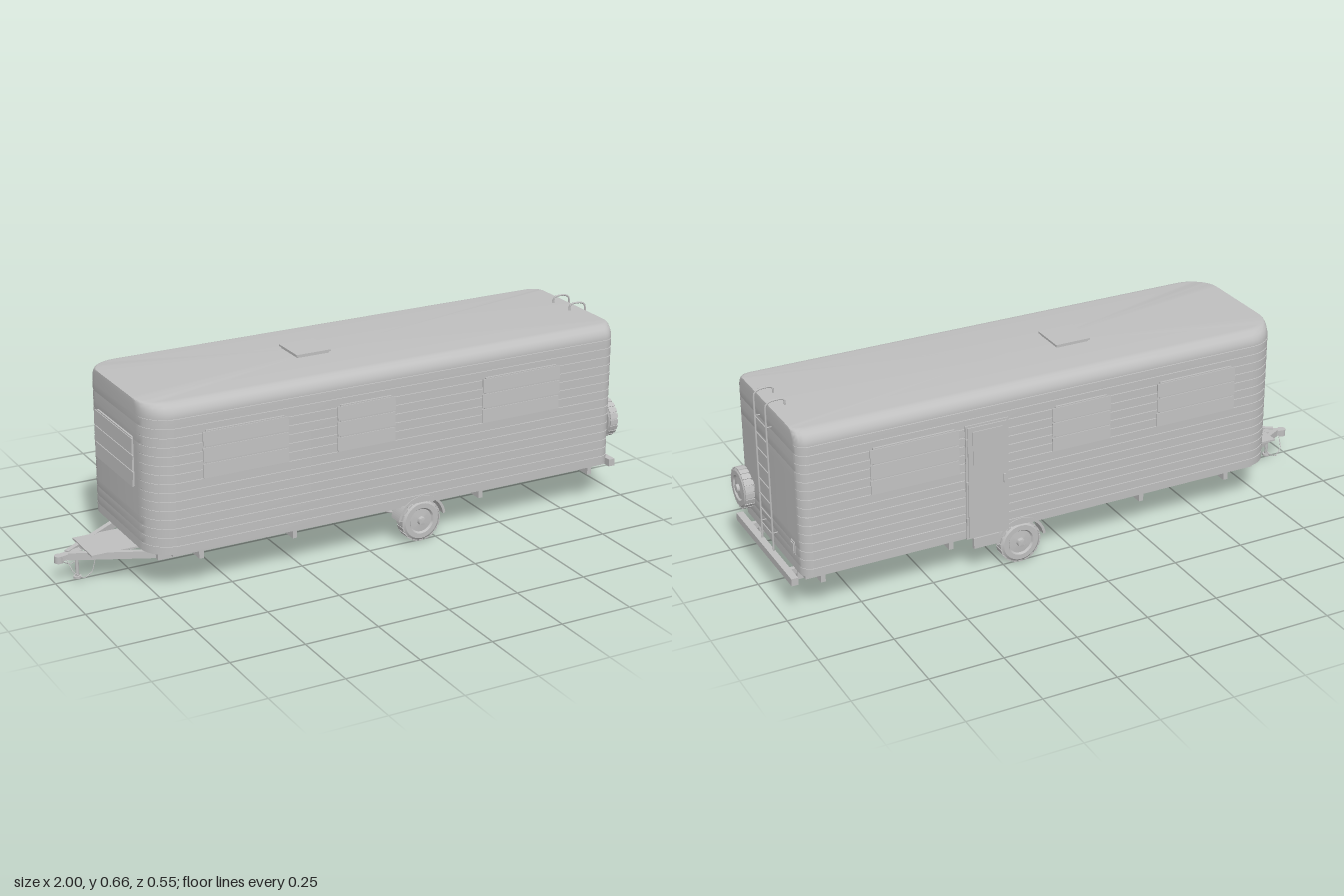
import * as THREE from 'three';
import { toCreasedNormals } from 'three/addons/utils/BufferGeometryUtils.js';

const grey = new THREE.MeshStandardMaterial({ color: 0xbfbfbf, side: THREE.DoubleSide });
grey.name = 'plain grey';
const V = (x, y, z) => new THREE.Vector3(x, y, z);

function add(parent, name, geo, x = 0, y = 0, z = 0) {
  const m = new THREE.Mesh(geo, grey);
  m.name = name;
  m.position.set(x, y, z);
  parent.add(m);
  return m;
}

// Box given by its min and max corners
function box(parent, name, x0, x1, y0, y1, z0, z1) {
  return add(parent, name, new THREE.BoxGeometry(x1 - x0, y1 - y0, z1 - z0),
    (x0 + x1) / 2, (y0 + y1) / 2, (z0 + z1) / 2);
}

// Square beam between two points
function beam(parent, name, a, b, w, h) {
  const m = add(parent, name, new THREE.BoxGeometry(w, h, a.distanceTo(b)));
  m.position.copy(a).add(b).multiplyScalar(0.5);
  m.lookAt(b);
  return m;
}

// Bent round bar through points
function bar(parent, name, pts, r) {
  const path = new THREE.CatmullRomCurve3(pts, false, 'catmullrom', 0.1);
  return add(parent, name, new THREE.TubeGeometry(path, pts.length * 6, r, 8));
}

function cyl(parent, name, r, len, axis, x, y, z, sides = 16) {
  const g = new THREE.CylinderGeometry(r, r, len, sides);
  if (axis === 'x') g.rotateZ(Math.PI / 2);
  if (axis === 'z') g.rotateX(Math.PI / 2);
  return add(parent, name, g, x, y, z);
}

// Rounded plan lofted up a side profile, so the ends stay plain and the sides carry planks
function shellGeometry() {
  const plan = [];
  const corner = (cx, cz, r, a0) => {
    for (let i = 0; i <= 8; i++) {
      const a = a0 + (i / 8) * Math.PI / 2;
      plan.push([cx + r * Math.cos(a), cz + r * Math.sin(a)]);
    }
  };
  corner(0.9, 0.22, 0.04, 0);
  corner(-0.675, 0.16, 0.1, Math.PI / 2);
  corner(-0.675, -0.16, 0.1, Math.PI);
  corner(0.9, -0.22, 0.04, Math.PI * 1.5);

  const profile = [];
  for (let i = 0; i < 15; i++) {
    const y = 0.14 + i * 0.03;
    profile.push([y, 0.26], [y + 0.026, 0.26], [y + 0.0265, 0.257], [y + 0.0295, 0.257]);
  }
  for (let i = 0; i <= 8; i++) {
    const a = (i / 8) * Math.PI / 2;
    profile.push([0.59 + 0.045 * Math.sin(a), 0.215 + 0.045 * Math.cos(a)]);
  }

  const pos = [], idx = [], n = plan.length;
  for (const [y, w] of profile) for (const [x, z] of plan) pos.push(x, y, z * w / 0.26);
  for (let j = 0; j < profile.length - 1; j++) for (let i = 0; i < n; i++) {
    const a = j * n + i, b = j * n + (i + 1) % n;
    idx.push(a, a + n, b, b, a + n, b + n);
  }
  const top = (profile.length - 1) * n, c = pos.length / 3;
  pos.push(0, 0.14, 0, 0, 0.635, 0);
  for (let i = 0; i < n; i++) {
    const k = (i + 1) % n;
    idx.push(c, i, k, c + 1, top + k, top + i);
  }
  const g = new THREE.BufferGeometry();
  g.setAttribute('position', new THREE.Float32BufferAttribute(pos, 3));
  g.setIndex(idx);
  return toCreasedNormals(g, 0.5);
}

// Wheel with its axis on z, outer face toward +z
function makeWheel(name, r, w) {
  const g = new THREE.Group();
  g.name = name;
  const h = w / 2;
  const pts = [[0, -h * 0.7], [r * 0.55, -h * 0.7], [r * 0.62, -h], [r * 0.85, -h], [r * 0.97, -h * 0.7],
    [r * 0.97, h * 0.7], [r * 0.85, h], [r * 0.62, h], [r * 0.55, h * 0.7], [r * 0.2, h * 0.8],
    [r * 0.18, h * 1.3], [0, h * 1.4]].map(p => new THREE.Vector2(p[0], p[1]));
  add(g, 'tyre', toCreasedNormals(new THREE.LatheGeometry(pts, 32).rotateX(Math.PI / 2), 0.5));
  for (let i = 0; i < 20; i++) {
    const a = (i / 20) * Math.PI * 2;
    const t = add(g, 'tread', new THREE.BoxGeometry(r * 0.06, r * 0.22, w * 0.84),
      Math.cos(a) * r * 0.965, Math.sin(a) * r * 0.965, 0);
    t.rotation.z = a;
  }
  return g;
}

// Slatted window facing +z, centred on its own origin
function makeWindow(name, w, h) {
  const g = new THREE.Group();
  g.name = name;
  box(g, 'frame', -w / 2 + 0.012, w / 2 - 0.012, -h / 2, h / 2, -0.004, 0.004);
  for (let i = -1; i <= 1; i++) {
    const s = add(g, 'slat', new THREE.BoxGeometry(w, h / 3 - 0.007, 0.004), 0, i * h / 3, 0.007);
    s.rotation.x = -0.07;
  }
  return g;
}

export function createModel() {
  const model = new THREE.Group();
  model.name = 'trailer';
  add(model, 'bodyShell', shellGeometry());

  // Windows on both sides and the nose
  for (const s of [1, -1]) {
    for (const [x, w] of [[-0.452, 0.295], [-0.025, 0.21], [0.56, 0.3]]) {
      const win = makeWindow('sideWindow', w, 0.158);
      win.position.set(x, 0.457, s * 0.262);
      if (s < 0) win.rotation.y = Math.PI;
      model.add(win);
    }
  }
  const nose = makeWindow('noseWindow', 0.3, 0.165);
  nose.position.set(-0.777, 0.425, 0);
  nose.rotation.y = -Math.PI / 2;
  model.add(nose);

  // Door with window, handle, hinges and step
  const door = new THREE.Group();
  door.name = 'door';
  model.add(door);
  box(door, 'doorFrame', 0.235, 0.385, 0.135, 0.537, -0.264, -0.255);
  box(door, 'doorPanel', 0.242, 0.378, 0.14, 0.53, -0.268, -0.258);
  box(door, 'doorWindow', 0.258, 0.362, 0.4, 0.515, -0.271, -0.262);
  box(door, 'doorHandle', 0.248, 0.256, 0.315, 0.345, -0.274, -0.262);
  for (const y of [0.2, 0.33, 0.48]) cyl(door, 'hinge', 0.004, 0.025, 'y', 0.382, y, -0.266, 8);
  box(door, 'step', 0.27, 0.36, 0.095, 0.132, -0.264, -0.25);

  // Roof vent
  box(model, 'ventBase', -0.16, -0.045, 0.63, 0.641, -0.062, 0.052);
  box(model, 'ventLid', -0.165, -0.04, 0.641, 0.647, -0.067, 0.057);

  // Ladder
  for (const z of [0.05, -0.047]) {
    bar(model, 'ladderRail', [V(0.957, 0.138, z), V(0.957, 0.4, z), V(0.957, 0.635, z), V(0.952, 0.65, z),
      V(0.938, 0.657, z), V(0.91, 0.658, z), V(0.893, 0.654, z), V(0.892, 0.634, z)], 0.0033);
    for (const y of [0.2, 0.57]) cyl(model, 'ladderBracket', 0.002, 0.02, 'x', 0.947, y, z, 6);
  }
  for (let i = 0; i < 8; i++) cyl(model, 'rung', 0.002, 0.097, 'z', 0.957, 0.195 + i * 0.0535, 0.0015, 8);

  // Rear fittings
  const spare = makeWheel('spareWheel', 0.069, 0.036);
  spare.position.set(0.973, 0.27, 0.163);
  spare.rotation.y = Math.PI / 2;
  model.add(spare);
  cyl(model, 'spareMount', 0.02, 0.03, 'x', 0.95, 0.27, 0.163);
  for (const z of [0.184, -0.182]) {
    box(model, 'tailLightBase', 0.938, 0.943, 0.194, 0.238, z - 0.015, z + 0.015);
    box(model, 'tailLight', 0.94, 0.946, 0.199, 0.233, z - 0.011, z + 0.011);
  }
  box(model, 'rearBumper', 0.952, 0.975, 0.113, 0.138, -0.24, 0.24);

  // Chassis
  box(model, 'floor', -0.7, 0.93, 0.128, 0.142, -0.245, 0.245);
  for (const s of [1, -1]) {
    box(model, 'mainRail', -0.72, 0.93, 0.092, 0.13, s * 0.165 - 0.01, s * 0.165 + 0.01);
    box(model, 'bumperArm', 0.92, 0.955, 0.113, 0.132, s * 0.165 - 0.008, s * 0.165 + 0.008);
    beam(model, 'drawBar', V(-0.715, 0.105, s * 0.15), V(-0.955, 0.092, s * 0.008), 0.016, 0.024);
    for (const x of [-0.6, -0.27, 0.43, 0.87]) box(model, 'outrigger', x - 0.008, x + 0.008, 0.1, 0.13, s * 0.205 - 0.035, s * 0.205 + 0.035);

    // Running gear
    const wheel = makeWheel('roadWheel', 0.0725, 0.044);
    wheel.position.set(0.19, 0.0735, s * 0.239);
    if (s < 0) wheel.rotation.y = Math.PI;
    model.add(wheel);
    const arch = new THREE.Shape();
    arch.absarc(0, 0, 0.09, 0.15, Math.PI - 0.15, false);
    arch.absarc(0, 0, 0.081, Math.PI - 0.15, 0.15, true);
    add(model, 'fender', new THREE.ExtrudeGeometry(arch, { depth: 0.05, bevelEnabled: false, curveSegments: 20 }),
      0.19, 0.0735, s > 0 ? 0.213 : -0.263);
    bar(model, 'leafSpring', [V(0.08, 0.098, s * 0.155), V(0.13, 0.078, s * 0.155), V(0.19, 0.069, s * 0.155),
      V(0.25, 0.078, s * 0.155), V(0.3, 0.098, s * 0.155)], 0.005);
    box(model, 'axleClamp', 0.178, 0.202, 0.059, 0.079, s * 0.155 - 0.005, s * 0.155 + 0.005);

    // Safety chains
    bar(model, 'safetyChain', [V(-0.965, 0.085, s * 0.015), V(-0.955, 0.05, s * 0.045), V(-0.925, 0.03, s * 0.06),
      V(-0.895, 0.045, s * 0.055), V(-0.88, 0.09, s * 0.05)], 0.0015);
  }
  for (const x of [-0.71, -0.6, -0.27, 0.1, 0.43, 0.87]) box(model, 'crossMember', x - 0.009, x + 0.009, 0.097, 0.128, -0.165, 0.165);
  cyl(model, 'axle', 0.0055, 0.44, 'z', 0.19, 0.07, 0);

  // Hitch and jack
  box(model, 'drawBarPlate', -0.905, -0.72, 0.104, 0.11, -0.08, 0.08);
  beam(model, 'coupler', V(-0.91, 0.096, 0), V(-0.99, 0.086, 0), 0.026, 0.018);
  cyl(model, 'couplerSocket', 0.015, 0.024, 'y', -0.985, 0.085, 0);
  cyl(model, 'jackPost', 0.006, 0.092, 'y', -0.925, 0.056, 0);
  cyl(model, 'jackFoot', 0.013, 0.007, 'y', -0.925, 0.0105, 0);
  return model;
}
